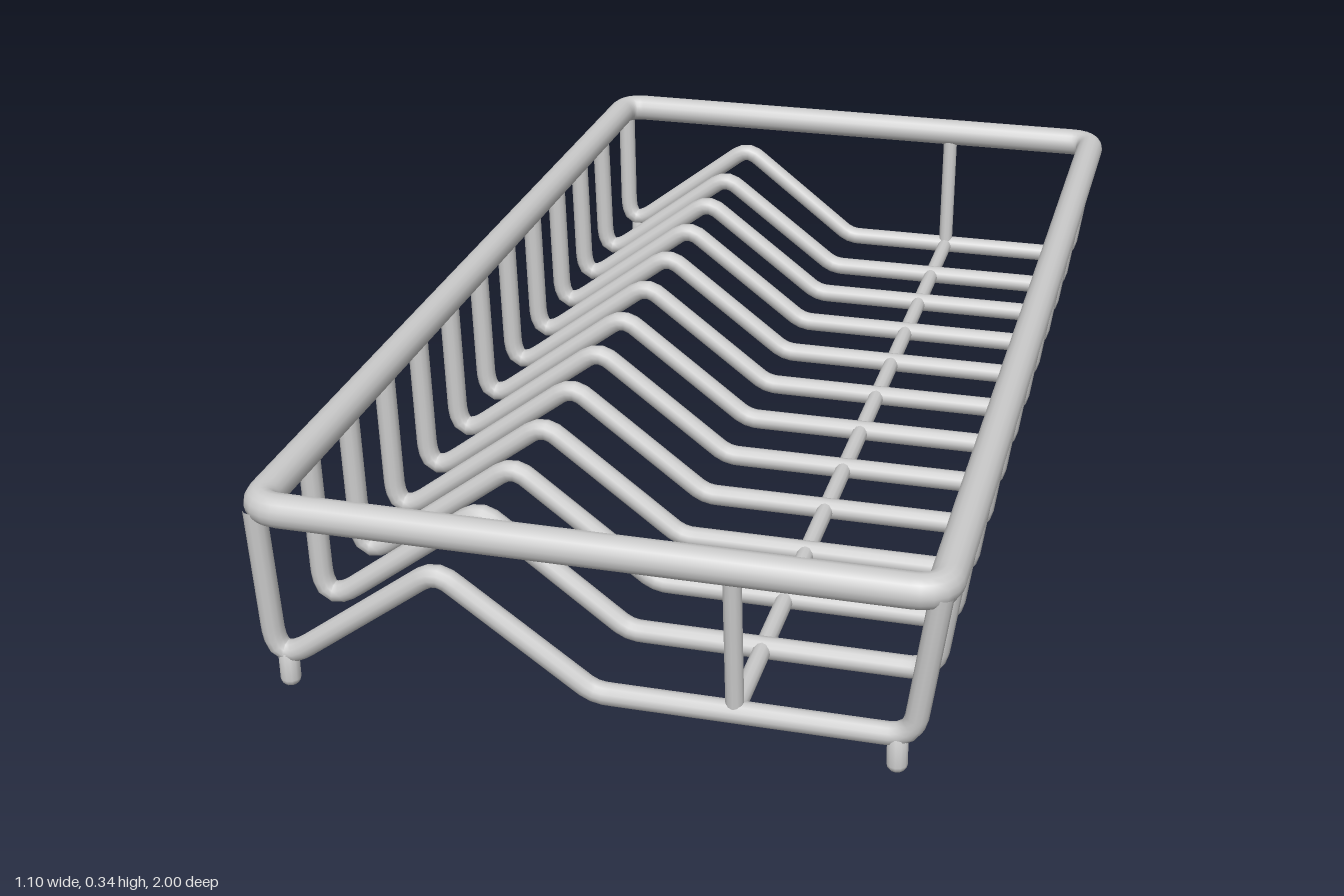
import * as THREE from 'three';

const material = new THREE.MeshStandardMaterial({ color: 0xcccccc });
const RIM_Y = 0.314, HALF_X = 0.523, HALF_Z = 0.973;
const WIRE = 0.0178, RAIL_X = 0.217, FLOOR_Y = 0.058;

// Path of straight runs with rounded corners; trims[i] is the distance cut off at corner i
function bentPath(points, trims, closed = false) {
  const path = new THREE.CurvePath();
  const n = points.length;
  const towards = (a, b, d) => a.clone().add(b.clone().sub(a).setLength(d));
  const corner = (i) => {
    const p = points[i], before = points[(i + n - 1) % n], after = points[(i + 1) % n];
    return [towards(p, before, trims[i]), p, towards(p, after, trims[i])];
  };
  const first = closed ? corner(0)[2] : points[0];
  let from = first;
  for (let k = 1; k <= (closed ? n : n - 2); k++) {
    const [a, p, b] = corner(k % n);
    path.add(new THREE.LineCurve3(from, a));
    path.add(new THREE.QuadraticBezierCurve3(a, p, b));
    from = b;
  }
  if (!closed) path.add(new THREE.LineCurve3(from, points[n - 1]));
  return path;
}

function addTube(group, name, path, radius, segments, sides, closed = false) {
  const mesh = new THREE.Mesh(new THREE.TubeGeometry(path, segments, radius, sides, closed), material);
  mesh.name = name;
  group.add(mesh);
  return mesh;
}

// Cross wire: [x, y, corner trim]
const ribProfile = [
  [-0.523, 0.31, 0], [-0.517, 0.03, 0.07], [-0.24, 0.24, 0.03],
  [0, FLOOR_Y, 0.02], [0.485, FLOOR_Y, 0.04], [0.521, 0.31, 0],
];

function ribPath(z, lean) {
  const points = ribProfile.map(([x, y]) => new THREE.Vector3(x, y, z + lean * (y - FLOOR_Y)));
  return bentPath(points, ribProfile.map((p) => p[2]));
}

export function createModel() {
  const model = new THREE.Group();
  model.name = 'wireBasket';

  // Thick rounded rim
  const rim = [[-1, -1], [1, -1], [1, 1], [-1, 1]]
    .map(([sx, sz]) => new THREE.Vector3(sx * HALF_X, RIM_Y, sz * HALF_Z));
  addTube(model, 'rim', bentPath(rim, [0.045, 0.045, 0.045, 0.045], true), 0.027, 480, 16, true);

  // Inner cross wires
  for (let i = -5; i <= 5; i++) addTube(model, 'crossWire', ribPath(i * 0.1545, 0), WIRE, 110, 12);

  // Lower lengthwise rail
  const rail = new THREE.LineCurve3(
    new THREE.Vector3(RAIL_X, FLOOR_Y, -0.953), new THREE.Vector3(RAIL_X, FLOOR_Y, 0.953));
  addTube(model, 'lengthwiseRail', rail, 0.0145, 1, 12);

  // Foot profile, slightly rounded at the tip
  const footProfile = [[0, 0], [0.011, 0], [0.015, 0.005], [0.016, 0.01], [0.016, 0.058], [0, 0.058]]
    .map(([r, y]) => new THREE.Vector2(r, y));

  for (const side of [-1, 1]) {
    // Outward leaning end wires
    addTube(model, 'endWire', ribPath(side * 0.955, side * 0.055), WIRE, 110, 12);

    // End posts from the rail to the rim
    const post = new THREE.LineCurve3(
      new THREE.Vector3(RAIL_X, FLOOR_Y, side * 0.953), new THREE.Vector3(RAIL_X, 0.31, side * 0.969));
    addTube(model, 'endPost', post, 0.0145, 1, 12);

    // Feet
    for (const x of [-0.496, 0.463]) {
      const foot = new THREE.Mesh(new THREE.LatheGeometry(footProfile, 12), material);
      foot.name = 'foot';
      foot.position.set(x, 0, side * 0.957);
      model.add(foot);
    }
  }
  return model;
}
